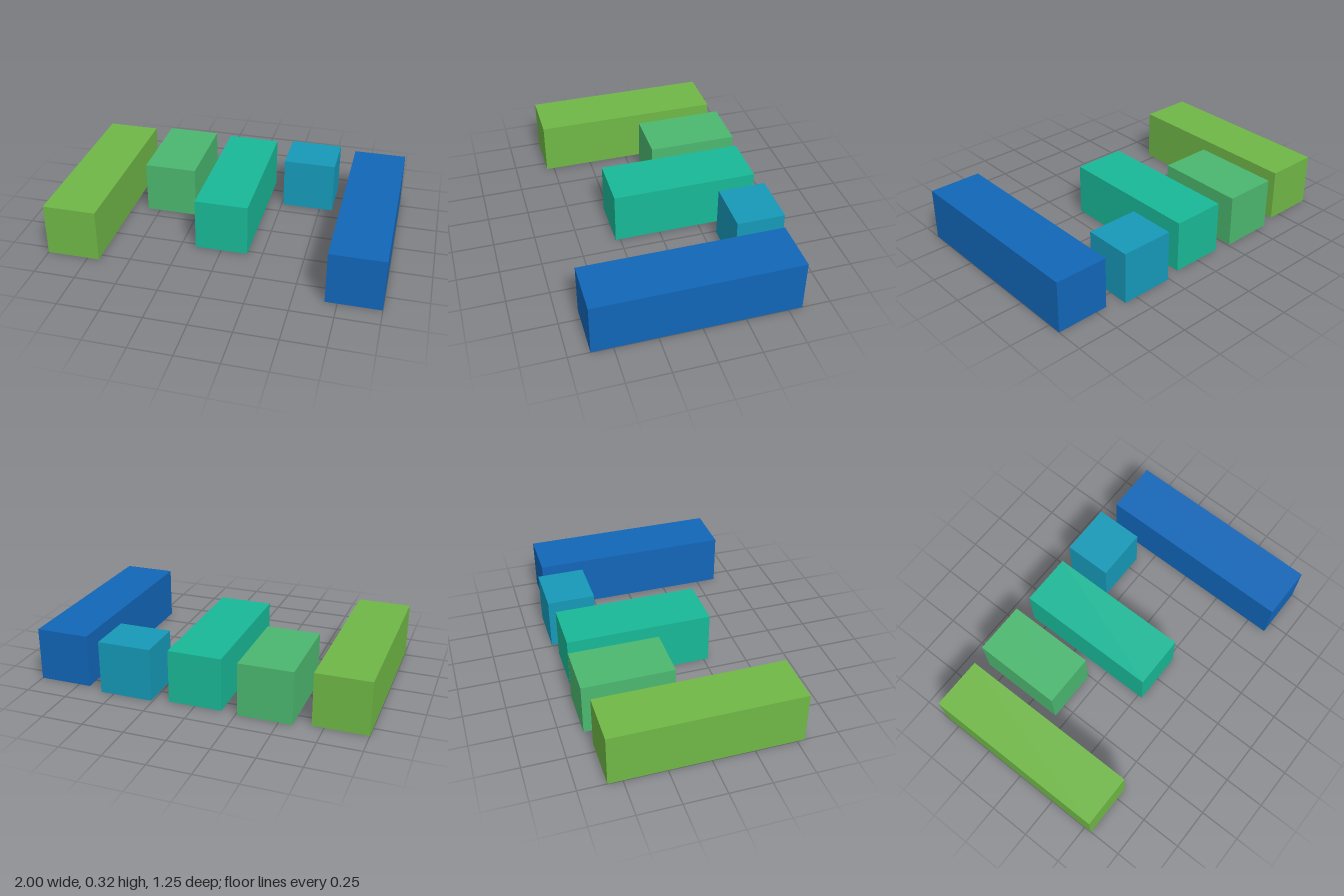
import * as THREE from 'three';

// Square-section bars, spaced evenly in x: colour, back z, front z
const SIZE = 0.32;
const SPACING = 0.42;
const BARS = [
  { name: 'limeBar', color: 0x6fb746, back: -0.585, front: 0.547 },
  { name: 'greenBar', color: 0x4bb76f, back: -0.615, front: -0.073 },
  { name: 'tealBar', color: 0x19b897, back: -0.599, front: 0.278 },
  { name: 'cyanBar', color: 0x1699b8, back: -0.625, front: -0.335 },
  { name: 'blueBar', color: 0x1266b8, back: -0.582, front: 0.625 },
];

export function createModel() {
  const group = new THREE.Group();
  group.name = 'barRow';

  BARS.forEach(({ name, color, back, front }, i) => {
    const bar = new THREE.Mesh(
      new THREE.BoxGeometry(SIZE, SIZE, front - back),
      new THREE.MeshStandardMaterial({ color }),
    );
    bar.name = name;
    bar.position.set((i - 2) * SPACING, SIZE / 2, (front + back) / 2);
    group.add(bar);
  });

  return group;
}
